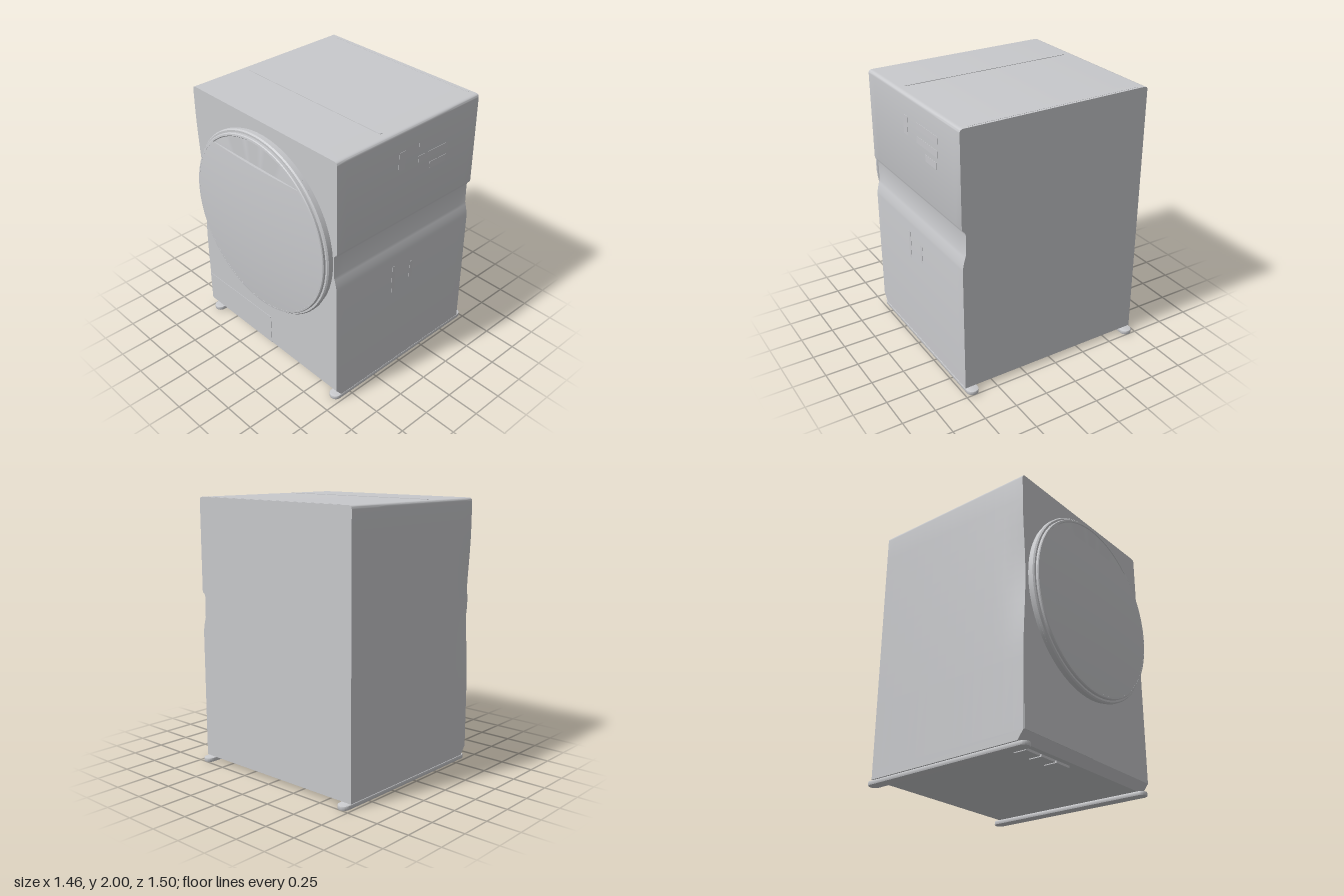
import * as THREE from 'three';
import { toCreasedNormals } from 'three/addons/utils/BufferGeometryUtils.js';
import { ParametricGeometry } from 'three/addons/geometries/ParametricGeometry.js';

const casing = new THREE.MeshStandardMaterial({ color: 0xc8c9cc });
casing.name = 'casing grey';

export function createModel() {
  const model = new THREE.Group();
  model.name = 'frontLoadingDryer';
  const add = (name, geometry, x = 0, y = 0, z = 0, parent = model) => {
    const mesh = new THREE.Mesh(geometry, casing);
    mesh.name = name;
    mesh.position.set(x, y, z);
    parent.add(mesh);
    return mesh;
  };
  const box = (name, w, h, d, x, y, z) => add(name, new THREE.BoxGeometry(w, h, d), x, y, z);

  // Cabinet: front outline with the finger groove on its left side, pulled back
  const W = 0.73, back = -0.695, front = 0.64;
  const outline = new THREE.Shape();
  outline.moveTo(-W, 0.1);
  outline.lineTo(W, 0.1);
  outline.lineTo(W, 1.0);
  outline.quadraticCurveTo(0.725, 1.05, 0.705, 1.11);
  outline.lineTo(0.702, 1.26);
  outline.quadraticCurveTo(0.705, 1.288, 0.725, 1.295);
  outline.lineTo(W, 1.31);
  outline.lineTo(W, 1.97);
  outline.quadraticCurveTo(W, 1.995, 0.7, 1.995);
  outline.lineTo(-0.7, 1.995);
  outline.quadraticCurveTo(-W, 1.995, -W, 1.97);
  for (let i = 0; i <= 12; i++) outline.lineTo(-W, 1.8 - i * 0.1);
  const cabinet = new THREE.ExtrudeGeometry(outline, {
    depth: front - back, steps: 16, bevelEnabled: false, curveSegments: 6,
  });
  cabinet.translate(0, 0, back);
  // Shallow dent beside the door, and a top that falls slightly to the front
  const p = cabinet.attributes.position;
  for (let i = 0; i < p.count; i++) {
    const x = p.getX(i), y = p.getY(i), z = p.getZ(i);
    if (x < -0.72 && y > 0.6 && y < 1.8) {
      const near = THREE.MathUtils.smoothstep(z, 0.45, front);
      p.setX(i, x + 0.025 * near * Math.sin(Math.PI * (y - 0.6) / 1.2) ** 2);
    }
    if (y > 1.96) p.setY(i, y + 0.004 - 0.008 * (z - back) / (front - back));
  }
  add('cabinet', toCreasedNormals(cabinet, 0.6));

  // Plinth with a chamfered front edge, drawn in z and y and run across x
  const side = new THREE.Shape([
    [-front, 0.1], [-0.59, 0.035], [-back, 0.035], [-back, 0.1],
  ].map(([x, y]) => new THREE.Vector2(x, y)));
  const plinth = new THREE.ExtrudeGeometry(side, { depth: 2 * W, bevelEnabled: false });
  plinth.rotateY(Math.PI / 2);
  plinth.translate(-W, 0, 0);
  add('plinth', plinth);

  // Runners with rounded ends
  const runner = new THREE.Shape();
  const r = 0.045, f = 0.603, b = -0.71;
  runner.absarc(0, f, r, 0, Math.PI, false);
  runner.absarc(0, b, r, Math.PI, 2 * Math.PI, false);
  const runnerGeometry = new THREE.ExtrudeGeometry(runner, {
    depth: 0.02, bevelThickness: 0.006, bevelSize: 0.006, bevelOffset: -0.006, bevelSegments: 2,
  });
  runnerGeometry.rotateX(Math.PI / 2);
  runnerGeometry.scale(1, 1, 1);
  runnerGeometry.translate(0, 0.026, 0);
  for (const s of [-1, 1]) add('runner', toCreasedNormals(runnerGeometry, 0.6), s * 0.685, 0, 0);

  // Door: stepped ring turned about z, closed by a flat disc
  const door = new THREE.Group();
  door.name = 'door';
  door.position.set(0.01, 1.214, 0);
  model.add(door);
  const ringProfile = [
    [0.685, 0.63], [0.685, 0.66], [0.695, 0.667], [0.695, 0.685], [0.687, 0.695],
    [0.673, 0.695], [0.673, 0.71], [0.668, 0.716], [0.655, 0.718], [0.65, 0.713], [0, 0.713],
  ].map(([x, y]) => new THREE.Vector2(x, y));
  const ring = new THREE.LatheGeometry(ringProfile, 96);
  ring.rotateX(Math.PI / 2);
  add('doorRing', toCreasedNormals(ring, 0.5), 0, 0, 0, door);

  // Domed door panel, cut straight along the top to leave the handle recess
  const R = 0.66, cut = 0.486, rows = 48;
  const end = Math.acos(-cut / R);
  const dome = new ParametricGeometry((u, v, target) => {
    const a = Math.min(1, v * rows / (rows - 1)) * end;
    const y = -R * Math.cos(a), x = (2 * u - 1) * R * Math.sin(a);
    const lip = v > 0.999;
    target.set(x, y, lip ? 0.705 : 0.75 - 0.033 * (x * x + y * y) / (R * R));
  }, 32, rows);
  add('doorPanel', toCreasedNormals(dome, 0.5), 0, 0, 0, door);

  // Service flap on the lower front
  box('serviceFlap', 0.745, 0.25, 0.006, -0.355, 0.225, front);

  // Raised seam and rear edge on the top
  box('topSeam', 1.32, 0.008, 0.022, 0, 1.993, 0.19);
  box('topRearSeam', 1.32, 0.006, 0.012, 0, 1.997, -0.67);

  // Embossed marks on the left side
  const marks = [
    [1.82, -0.25, 0.05, 0.3], [1.72, -0.25, 0.05, 0.3], [1.63, -0.3, 0.05, 0.16],
    [1.77, 0.06, 0.14, 0.06], [0.82, 0.09, 0.22, 0.03], [0.82, -0.09, 0.14, 0.03],
  ];
  for (const [y, z, h, d] of marks) box('sideMark', 0.004, h, d, W, y, z);

  // Vent cells under the base
  for (let i = 0; i < 3; i++) box('baseVent', 0.145, 0.018, 0.1, -0.52 + i * 0.16, 0.027, 0.5);

  return model;
}
